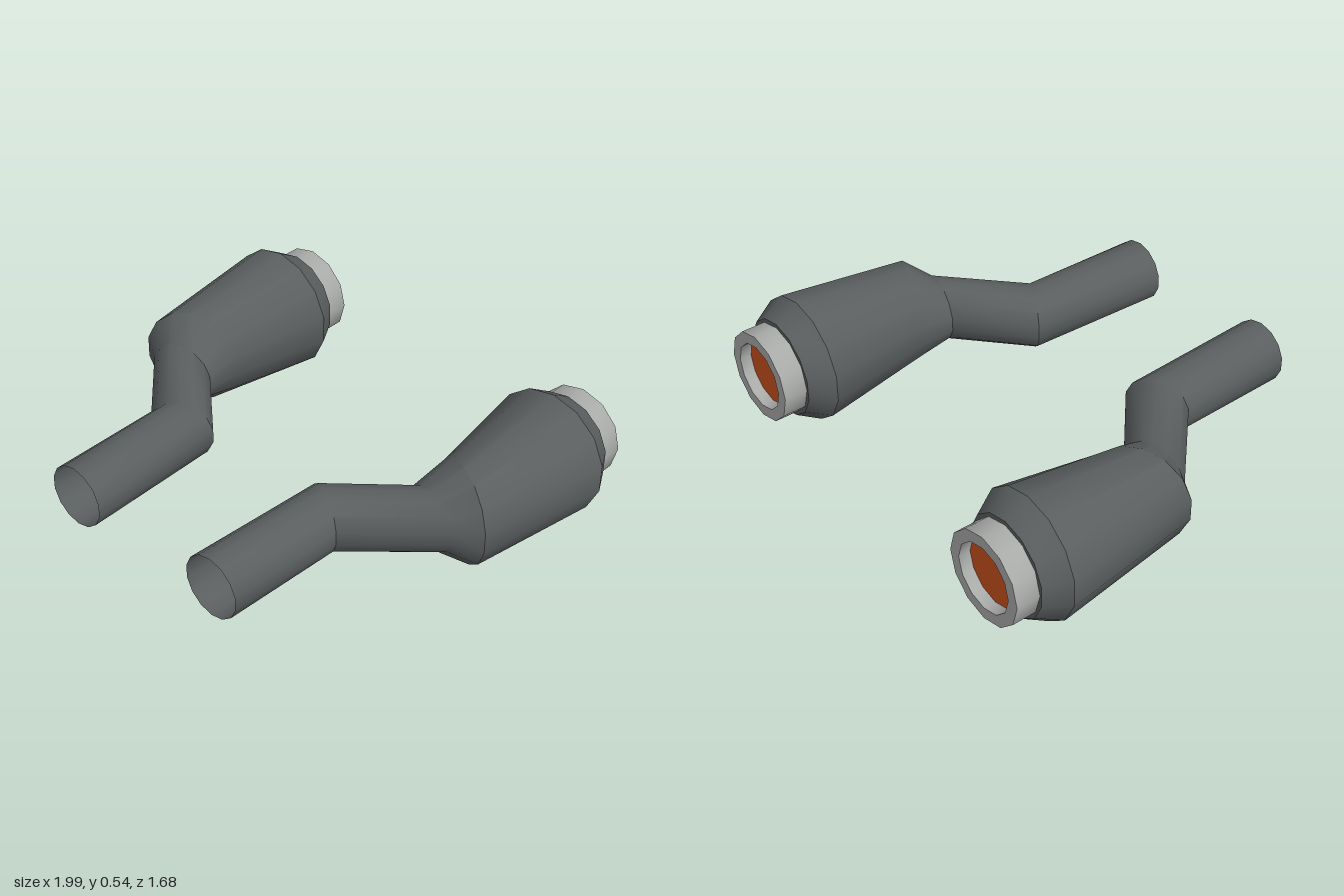
import * as THREE from 'three';
import { toCreasedNormals } from 'three/addons/utils/BufferGeometryUtils.js';

const AXIS_X = 0.737, AXIS_Y = 0.272, SIDES = 14, CREASE = 0.61;

// Cross-sections from back to front: centre x, centre z, half-width vector (x, z), half height
const SECTIONS = [
  [0.737, -0.74, 0.18, 0, 0.18],
  [0.737, -0.74, 0.205, 0, 0.21],
  [0.737, -0.64, 0.263, 0, 0.27],
  [0.737, -0.115, 0.188, 0.085, 0.212],
  [0.68, 0, 0.14, 0.03, 0.133],
  [0.39, 0.27, 0.12, 0.06, 0.133],
  [0.37, 0.838, 0.13, 0.002, 0.133],
];

// Skin the cross-sections into a tube; side is +1 or -1
function loftPipe(side) {
  const positions = [], indices = [];
  const widest = Math.cos(Math.PI / SIDES / 2 * 2 * 0.5 * 2 / 2);
  for (const [cx, cz, hx, hz, r] of SECTIONS) {
    for (let i = 0; i < SIDES; i++) {
      const t = (i / SIDES) * Math.PI * 2;
      const w = Math.sin(t) / widest;
      positions.push(side * (cx + hx * w), AXIS_Y + r * Math.cos(t), cz + hz * w);
    }
  }
  for (let j = 0; j < SECTIONS.length - 1; j++) {
    for (let i = 0; i < SIDES; i++) {
      const a = j * SIDES + i, b = j * SIDES + (i + 1) % SIDES;
      const c = a + SIDES, d = b + SIDES;
      if (side > 0) indices.push(a, c, b, b, c, d);
      else indices.push(a, b, c, b, d, c);
    }
  }
  const geometry = new THREE.BufferGeometry();
  geometry.setAttribute('position', new THREE.Float32BufferAttribute(positions, 3));
  geometry.setIndex(indices);
  return toCreasedNormals(geometry, CREASE);
}

export function createModel() {
  const darkMetal = new THREE.MeshStandardMaterial({ color: 0x5a5e5f, side: THREE.DoubleSide });
  darkMetal.name = 'darkMetal';
  const paleMetal = new THREE.MeshStandardMaterial({ color: 0xa8aaa8, side: THREE.DoubleSide });
  paleMetal.name = 'paleMetal';
  const glow = new THREE.MeshStandardMaterial({ color: 0xc8501c });
  glow.name = 'glowOrange';

  // Collar: outer wall, flat rim and recessed inner wall
  const profile = [[0.193, 0.72], [0.193, 0.84], [0.143, 0.84], [0.143, 0.79]]
    .map(([r, y]) => new THREE.Vector2(r, y));
  const collarGeometry = toCreasedNormals(
    new THREE.LatheGeometry(profile, 12).rotateX(-Math.PI / 2), CREASE);
  const discGeometry = new THREE.CircleGeometry(0.144, 12).rotateY(Math.PI);

  const model = new THREE.Group();
  model.name = 'exhaustPair';
  for (const side of [1, -1]) {
    const exhaust = new THREE.Group();
    exhaust.name = side > 0 ? 'leftExhaust' : 'rightExhaust';

    const pipe = new THREE.Mesh(loftPipe(side), darkMetal);
    pipe.name = 'bentPipe';

    const collar = new THREE.Mesh(collarGeometry, paleMetal);
    collar.name = 'nozzleCollar';
    collar.position.set(side * AXIS_X, AXIS_Y, 0);

    const disc = new THREE.Mesh(discGeometry, glow);
    disc.name = 'glowingOutlet';
    disc.position.set(side * AXIS_X, AXIS_Y, -0.79);

    exhaust.add(pipe, collar, disc);
    model.add(exhaust);
  }
  return model;
}
